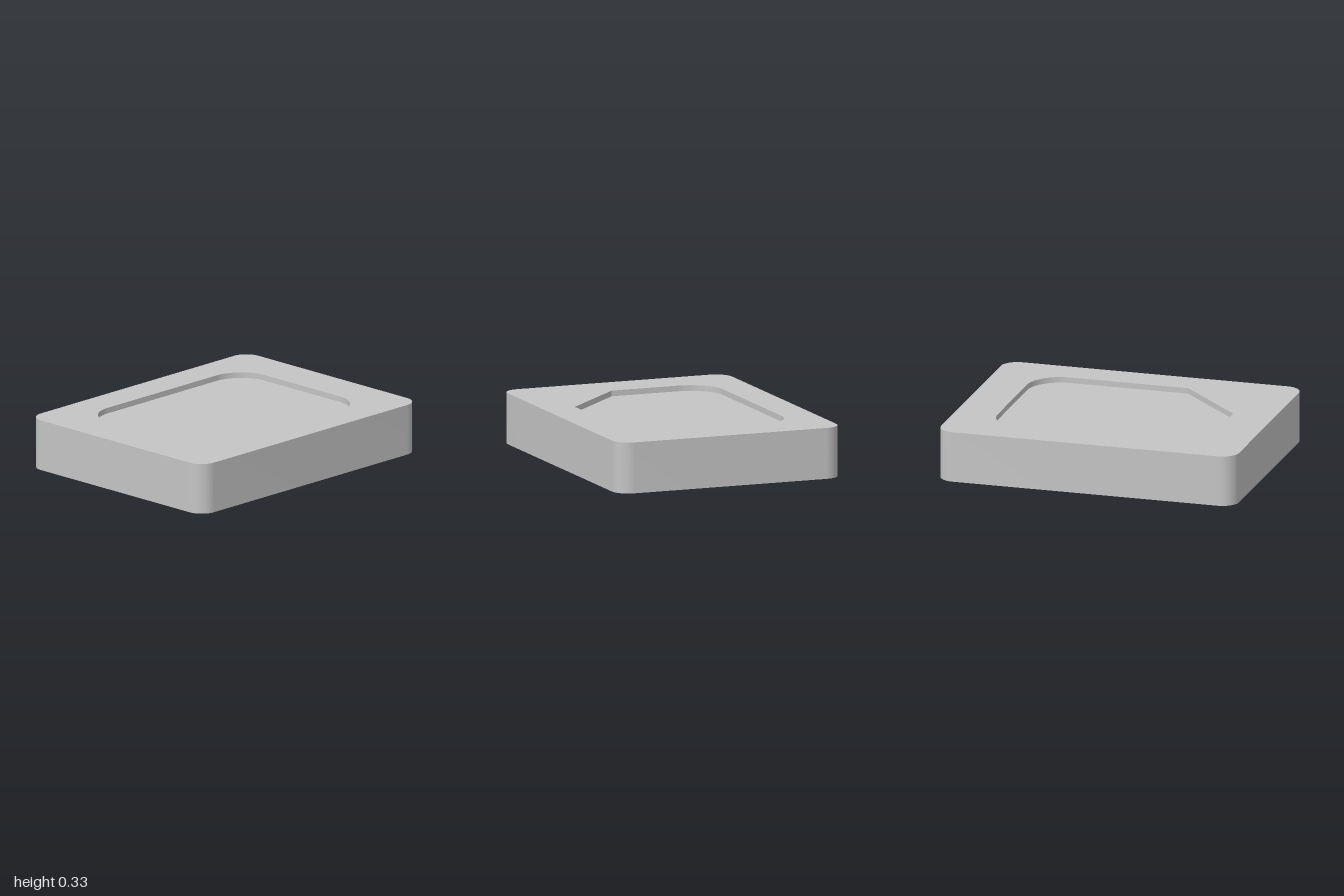
import * as THREE from 'three';
import { toCreasedNormals } from 'three/addons/utils/BufferGeometryUtils.js';

const HEIGHT = 0.333, FLOOR = 0.296;

// Rectangle outline with rounded corners; the front right corner may be cut at 45 degrees
function outline(w, d, r, cut = 0) {
  const s = new THREE.Shape();
  if (cut) {
    s.moveTo(-w, -d + cut);
    s.lineTo(-w + cut, -d);
  } else {
    s.moveTo(-w, -d + r);
    s.absarc(-w + r, -d + r, r, Math.PI, Math.PI * 1.5);
  }
  s.absarc(w - r, -d + r, r, -Math.PI / 2, 0);
  s.absarc(w - r, d - r, r, 0, Math.PI / 2);
  s.absarc(-w + r, d - r, r, Math.PI / 2, Math.PI);
  s.closePath();
  return s;
}

// Side surface only, between two heights; inward walls have their corner order reversed
function wall(shape, y0, y1, inward) {
  const ex = new THREE.ExtrudeGeometry(shape, { depth: y1 - y0, bevelEnabled: false, curveSegments: 16 });
  const { start, count } = ex.groups[1];
  const src = ex.attributes.position, pts = [];
  for (let i = start; i < start + count; i += 3) {
    for (const k of inward ? [0, 2, 1] : [0, 1, 2]) {
      pts.push(src.getX(i + k), src.getY(i + k), src.getZ(i + k));
    }
  }
  const geo = new THREE.BufferGeometry();
  geo.setAttribute('position', new THREE.Float32BufferAttribute(pts, 3));
  geo.rotateX(-Math.PI / 2).translate(0, y0, 0);
  return toCreasedNormals(geo, 0.6);
}

// Flat horizontal face at a given height
function face(shape, y, down) {
  return new THREE.ShapeGeometry(shape, 16).rotateX(down ? Math.PI / 2 : -Math.PI / 2).translate(0, y, 0);
}

export function createModel() {
  const group = new THREE.Group();
  const grey = new THREE.MeshStandardMaterial({ color: 0xc4c4c4 });
  grey.name = 'light grey';

  const add = (name, geo) => {
    const mesh = new THREE.Mesh(geo, grey);
    mesh.name = name;
    group.add(mesh);
  };

  const block = outline(1, 0.778, 0.111);
  const pocket = outline(0.722, 0.556, 0.222, 0.432);
  const rim = outline(1, 0.778, 0.111);
  rim.holes.push(pocket);

  // Outer block
  add('outerWall', wall(block, 0, HEIGHT, false));
  add('bottom', face(block, 0, true));
  add('topRim', face(rim, HEIGHT, false));

  // Shallow pocket with one cut corner
  add('pocketWall', wall(pocket, FLOOR, HEIGHT, true));
  add('pocketFloor', face(pocket, FLOOR, false));

  return group;
}
